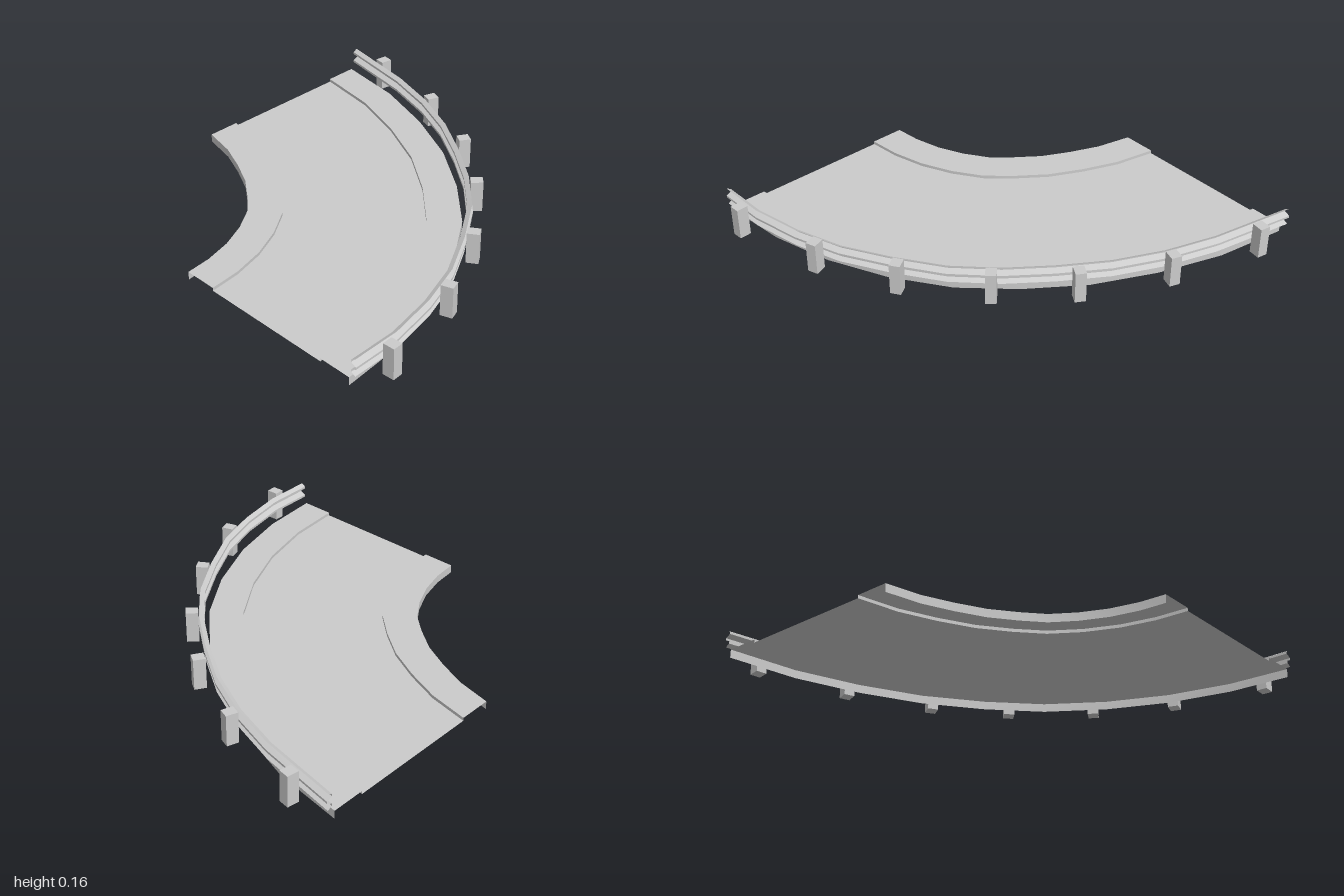
import * as THREE from 'three';

const rad = THREE.MathUtils.degToRad;
const material = new THREE.MeshStandardMaterial({ color: 0xcccccc, side: THREE.DoubleSide });
const solid = new THREE.MeshStandardMaterial({ color: 0xcccccc });

// Sweeps a profile of [outward, height] points along stations {x, z, angle}.
// Each profile edge is its own strip: sharp across, smooth along the bend.
function sweep(name, profile, stations) {
  const positions = [], index = [];
  for (let e = 0; e < profile.length - 1; e++) {
    const base = positions.length / 3;
    stations.forEach(({ x, z, angle }, i) => {
      for (const [out, y] of [profile[e], profile[e + 1]]) {
        positions.push(x + out * Math.sin(angle), y, z - out * Math.cos(angle));
      }
      if (i > 0) {
        const a = base + 2 * (i - 1);
        index.push(a, a + 1, a + 2, a + 1, a + 3, a + 2);
      }
    });
  }
  const geometry = new THREE.BufferGeometry();
  geometry.setAttribute('position', new THREE.Float32BufferAttribute(positions, 3));
  geometry.setIndex(index);
  geometry.computeVertexNormals();
  const mesh = new THREE.Mesh(geometry, material);
  mesh.name = name;
  return mesh;
}

export function createModel() {
  const model = new THREE.Group();
  model.name = 'roadBend';

  // Road centre line, turning ten degrees per station
  const roadPath = [
    [-1, -0.393], [-0.733, -0.345], [-0.497, -0.26], [-0.278, -0.152], [-0.088, -0.013],
    [0.072, 0.136], [0.2, 0.324], [0.297, 0.535], [0.356, 0.76], [0.377, 0.98],
  ].map(([x, z], i) => ({ x, z, angle: rad(10 * i) }));

  // Open-bottomed shell: skirts, raised kerbs and the lower carriageway
  const half = 0.515, kerb = 0.345, top = 0.042, road = 0.026;
  model.add(sweep('innerKerb', [[-half, 0], [-half, top], [-kerb, top], [-kerb, road]], roadPath));
  model.add(sweep('carriageway', [[-kerb, road], [kerb, road]], roadPath));
  model.add(sweep('outerKerb', [[kerb, road], [kerb, top], [half, top], [half, 0]], roadPath));

  // Guard rail: angle and radius about the bend's centre
  const railPath = [
    [0, 1.92], [12.7, 1.888], [21, 1.885], [29, 1.885], [37, 1.885], [44.5, 1.9],
    [52, 1.914], [60, 1.914], [67.7, 1.928], [75, 1.928], [82.6, 1.928], [90, 1.918],
  ].map(([degrees, radius]) => {
    const angle = rad(degrees);
    return { x: -1 + radius * Math.sin(angle), z: 0.98 - radius * Math.cos(angle), angle };
  });
  // Folded plate with two ridges towards the road
  const railProfile = [
    [0.009, 0.155], [-0.014, 0.142], [-0.014, 0.13], [0.014, 0.116],
    [0.014, 0.105], [-0.014, 0.091], [-0.014, 0.079], [0.009, 0.066],
  ];
  model.add(sweep('guardRail', railProfile, railPath));

  // Posts behind the rail: x, z and facing angle
  const posts = new THREE.Group();
  posts.name = 'railPosts';
  const postGeometry = new THREE.BoxGeometry(0.053, 0.162, 0.06);
  for (const [x, z, degrees] of [
    [-0.79, -0.953, 9], [-0.32, -0.83, 19], [0.085, -0.63, 31], [0.395, -0.375, 44],
    [0.672, -0.037, 57], [0.86, 0.34, 71], [0.968, 0.805, 87],
  ]) {
    const post = new THREE.Mesh(postGeometry, solid);
    post.name = 'railPost';
    post.position.set(x, 0.081, z);
    post.rotation.y = -rad(degrees);
    posts.add(post);
  }
  model.add(posts);
  return model;
}
